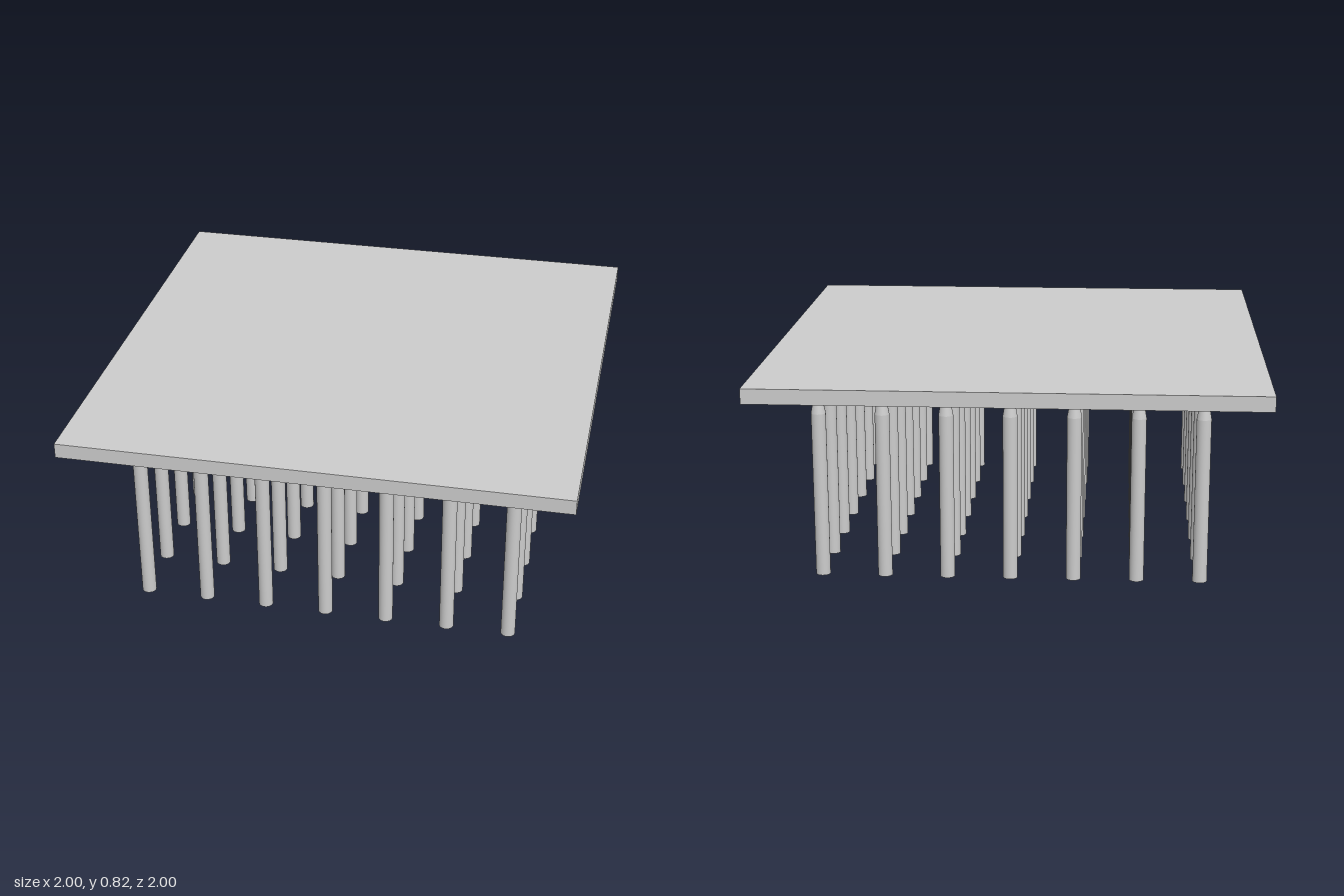
import * as THREE from 'three';

export function createModel() {
  const model = new THREE.Group();
  const material = new THREE.MeshStandardMaterial({ color: 0xcccccc });

  const part = (name, geometry, y, parent) => {
    const mesh = new THREE.Mesh(geometry, material);
    mesh.name = name;
    mesh.position.y = y;
    parent.add(mesh);
  };

  // Square slab resting on the pin tips
  const plateBottom = 0.763, plateTop = 0.823;
  part('plate', new THREE.BoxGeometry(2, plateTop - plateBottom, 2), (plateBottom + plateTop) / 2, model);

  // Round shaft and tapered tip, shared by every pin
  const radius = 0.029, shoulder = 0.665;
  const tipHeight = plateBottom - shoulder;
  const shaft = new THREE.CylinderGeometry(radius, radius, shoulder, 24);
  const tip = new THREE.CylinderGeometry(0.011, radius, tipHeight, 24, 1, true);

  // 7 x 7 grid of pins
  const spacing = 0.25;
  for (let i = -3; i <= 3; i++) {
    for (let j = -3; j <= 3; j++) {
      const pin = new THREE.Group();
      pin.name = 'pin';
      pin.position.set(i * spacing, 0, j * spacing);
      part('pinShaft', shaft, shoulder / 2, pin);
      part('pinTip', tip, shoulder + tipHeight / 2, pin);
      model.add(pin);
    }
  }
  return model;
}
